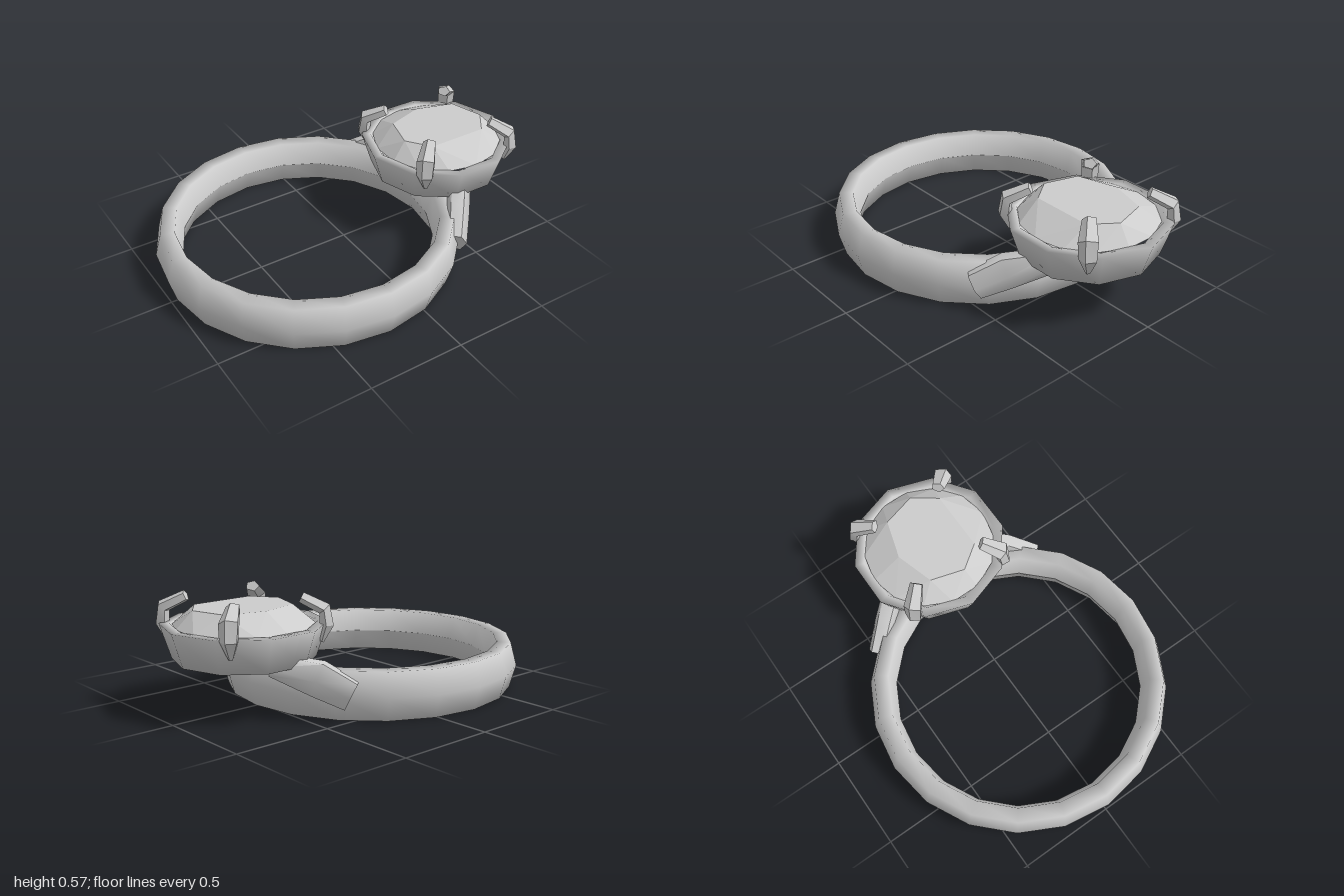
import * as THREE from 'three';
import { toCreasedNormals } from 'three/addons/utils/BufferGeometryUtils.js';
import { ConvexGeometry } from 'three/addons/geometries/ConvexGeometry.js';

const V = (x, y, z) => new THREE.Vector3(x, y, z);
const HEAD_X = 0.59;

// Capped bar swept along a planar path; radii = [sideways, vertical] per point
function bar(path, radii, sides, crease) {
  const n = V(0, 1, 0).cross(path[path.length - 1].clone().sub(path[0])).normalize();
  const pos = [], idx = [];
  path.forEach((p, i) => {
    const a = path[Math.max(i - 1, 0)], c = path[Math.min(i + 1, path.length - 1)];
    const b = c.clone().sub(a).normalize().cross(n).normalize();
    for (let j = 0; j < sides; j++) {
      const t = (j / sides) * Math.PI * 2;
      const q = p.clone().addScaledVector(n, Math.cos(t) * radii[i][0]).addScaledVector(b, Math.sin(t) * radii[i][1]);
      pos.push(q.x, q.y, q.z);
    }
  });
  const last = (path.length - 1) * sides;
  for (let j = 0; j < sides; j++) {
    const k = (j + 1) % sides;
    for (let o = 0; o < last; o += sides) {
      idx.push(o + j, o + k, o + sides + j, o + k, o + sides + k, o + sides + j);
    }
    if (j > 0 && j < sides - 1) idx.push(0, k, j, last, last + j, last + k);
  }
  const g = new THREE.BufferGeometry();
  g.setAttribute('position', new THREE.Float32BufferAttribute(pos, 3));
  g.setIndex(idx);
  return toCreasedNormals(g, crease);
}

const profile = (pts) => pts.map(([r, y]) => new THREE.Vector2(r, y));

export function createModel() {
  const group = new THREE.Group();
  const silver = new THREE.MeshStandardMaterial({ color: 0xcccccc });
  silver.name = 'silver';
  const add = (name, geo) => {
    const m = new THREE.Mesh(geo, silver);
    m.name = name;
    group.add(m);
    return m;
  };

  // Band
  add('band', new THREE.LatheGeometry(profile([
    [0.642, 0.118], [0.675, 0], [0.748, 0], [0.78, 0.118], [0.748, 0.236], [0.675, 0.236], [0.642, 0.118],
  ]), 20)).position.x = -0.22;

  // Ten-sided cup that holds the stone
  add('settingCup', new THREE.LatheGeometry(profile([
    [0.03, 0.255], [0.345, 0.255], [0.4, 0.425], [0.35, 0.425], [0.3, 0.34],
  ]), 10, Math.PI / 2)).position.x = HEAD_X;

  // Faceted stone: table, girdle and lower point
  const stone = [V(0, 0.195, 0), V(0, 0.505, -0.18)];
  for (const s of [-1, 1]) {
    for (const [x, z] of [[0.2, -0.12], [0.25, 0.055], [0.16, 0.178]]) stone.push(V(s * x, 0.505, z));
  }
  for (let i = 0; i < 14; i++) {
    const a = (i / 14) * Math.PI * 2;
    stone.push(V(Math.sin(a) * 0.34, 0.42, Math.cos(a) * 0.34));
  }
  add('stone', new ConvexGeometry(stone)).position.x = HEAD_X;

  // Four claws bent over the stone
  const d = Math.SQRT1_2;
  for (const sx of [-1, 1]) {
    for (const sz of [-1, 1]) {
      const at = (r, y) => V(sx * r * d, y, sz * r * d);
      add('claw', bar(
        [at(0.37, 0.335), at(0.395, 0.42), at(0.385, 0.497), at(0.275, 0.55)],
        [[0.012, 0.01], [0.045, 0.035], [0.05, 0.035], [0.035, 0.028]], 5, 0.4,
      )).position.x = HEAD_X;
    }
  }

  // Shoulders joining band and cup
  for (const s of [-1, 1]) {
    add('shoulder', bar(
      [V(0.35, 0.125, s * 0.5), V(0.45, 0.2, s * 0.38), V(0.59, 0.26, s * 0.22)],
      [[0.06, 0.08], [0.065, 0.095], [0.06, 0.06]], 6, 1.1,
    ));
  }
  return group;
}
